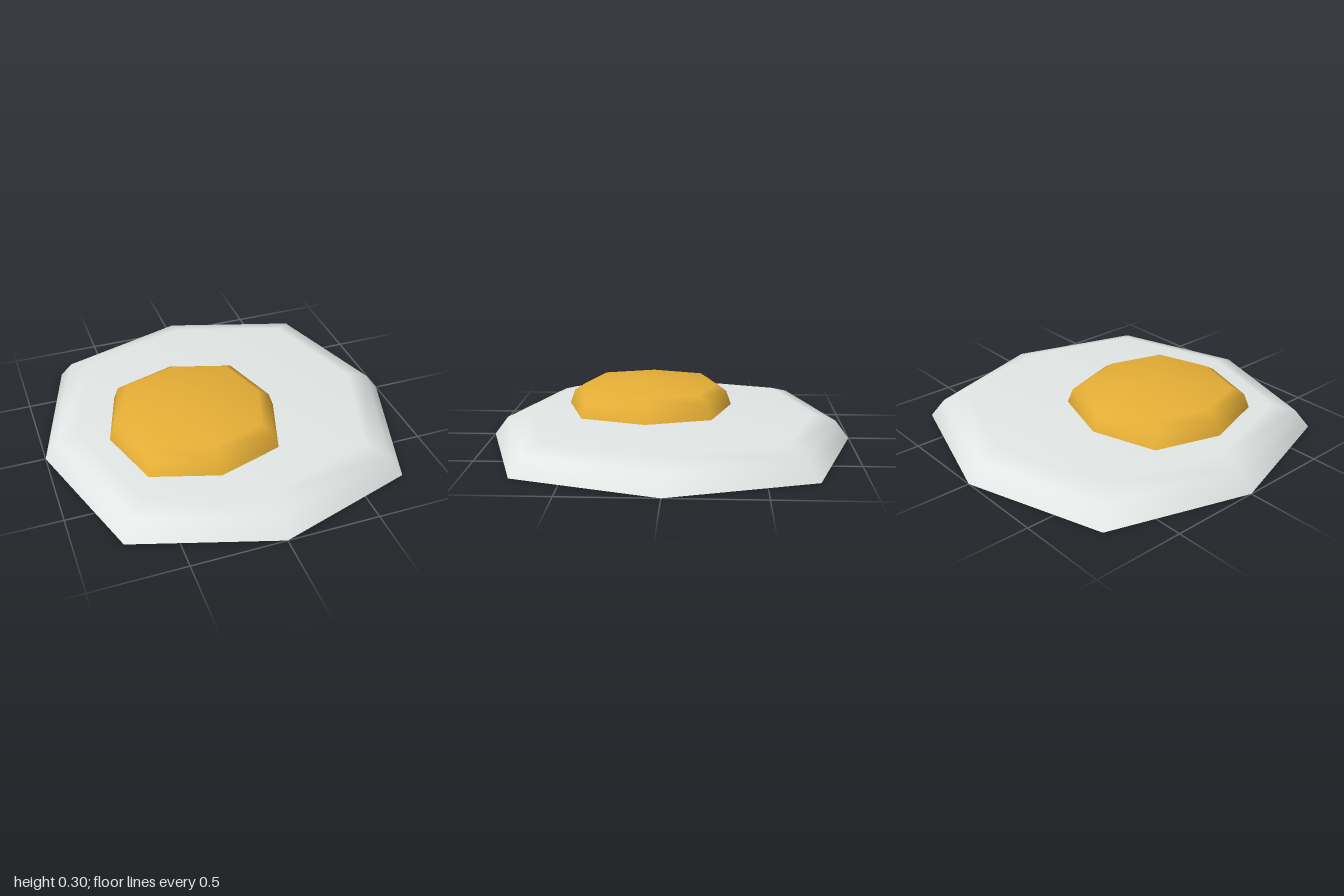
import * as THREE from 'three';
import { mergeVertices } from 'three/addons/utils/BufferGeometryUtils.js';

const SIDES = 8;
const DIAGONAL = 1.075; // corners on the diagonals reach a little further out

// Eight-sided smooth shell turned from [radius, height] points, bottom to top
function shell(profile) {
  const points = profile.map(([r, y]) => new THREE.Vector2(r, y));
  const lathe = new THREE.LatheGeometry(points, SIDES);
  const pos = lathe.attributes.position;
  for (let i = 0; i < pos.count; i++) {
    const corner = Math.floor(i / points.length);
    const s = corner % 2 ? DIAGONAL : 1;
    pos.setXYZ(i, pos.getX(i) * s, pos.getY(i), pos.getZ(i) * s);
  }
  // weld the seam so the shading runs smoothly all round
  lathe.deleteAttribute('normal');
  lathe.deleteAttribute('uv');
  const geometry = mergeVertices(lathe, 1e-4);
  geometry.computeVertexNormals();
  return geometry;
}

export function createModel() {
  const group = new THREE.Group();
  group.name = 'friedEgg';

  const white = new THREE.MeshStandardMaterial({ color: 0xe3e8e7 });
  white.name = 'eggWhite';
  const yellow = new THREE.MeshStandardMaterial({ color: 0xe6af36 });
  yellow.name = 'yolkYellow';

  const add = (name, profile, material, x = 0, z = 0) => {
    const mesh = new THREE.Mesh(shell(profile), material);
    mesh.name = name;
    mesh.position.set(x, 0, z);
    group.add(mesh);
  };

  // Egg white with a bevelled rim and flat top
  add('eggWhite', [[1, 0], [0.925, 0.1], [0.8, 0.14], [0, 0.14]], white);
  // Flat underside, separate to keep the bottom edge crisp
  add('underside', [[0, 0], [1, 0]], white);
  // Yolk, off centre, with a shallow peak
  add('yolk', [[0.468, 0.14], [0.44, 0.218], [0.378, 0.257], [0, 0.302]], yellow, -0.195, 0.125);

  return group;
}
